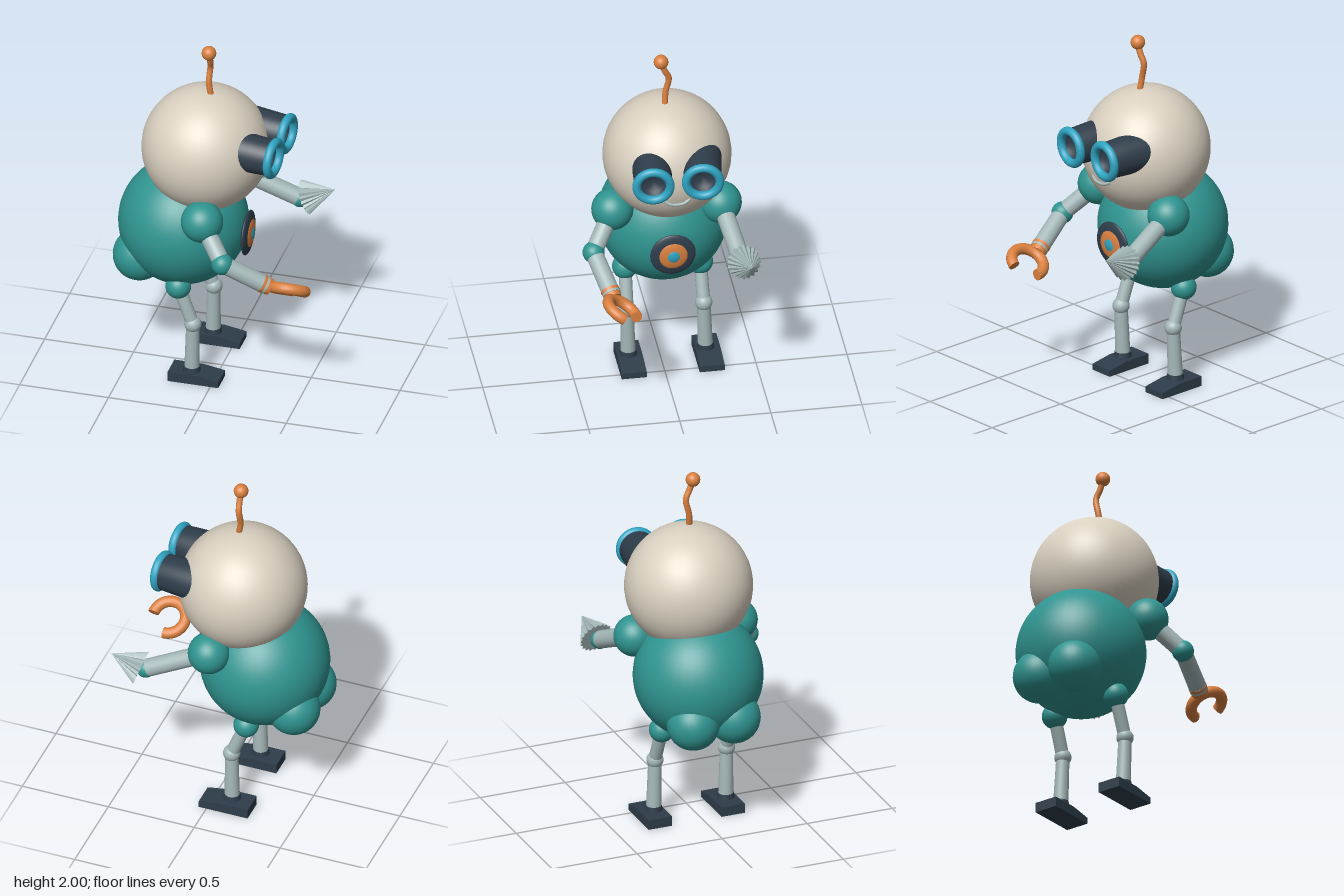
import * as THREE from 'three';

const mat = (name, color) => {
  const m = new THREE.MeshStandardMaterial({ color });
  m.name = name;
  return m;
};
const V = (x, y, z) => new THREE.Vector3(x, y, z);
const UP = V(0, 1, 0);

export function createModel() {
  const cream = mat('cream', 0xd9d0c0);
  const teal = mat('teal', 0x2f9490);
  const steel = mat('steel grey', 0xa5b8b8);
  const dark = mat('dark slate', 0x2e3d4a);
  const blue = mat('bright blue', 0x2fa4c2);
  const orange = mat('orange', 0xd9803f);

  const model = new THREE.Group();
  model.name = 'robot';

  const add = (name, geo, material, parent = model) => {
    const m = new THREE.Mesh(geo, material);
    m.name = name;
    parent.add(m);
    return m;
  };
  const ball = (name, p, r, material, seg = 32) => {
    const m = add(name, new THREE.SphereGeometry(r, seg, seg * 0.75), material);
    m.position.copy(p);
    return m;
  };
  // Rod running from point a to point b
  const rod = (name, a, b, ra, rb, material) => {
    const d = b.clone().sub(a);
    const m = add(name, new THREE.CylinderGeometry(rb, ra, d.length(), 24), material);
    m.position.copy(a).addScaledVector(d, 0.5);
    m.quaternion.setFromUnitVectors(UP, d.normalize());
    return m;
  };

  // Torso, rear lobes and head
  ball('body', V(-0.225, 0.87, -0.025), 0.355, teal, 48);
  for (const s of [-1, 1]) ball('rearLobe', V(-0.44, 0.685, -0.025 + s * 0.12), 0.145, teal);
  ball('head', V(-0.1, 1.35, -0.028), 0.35, cream, 48);

  // Antenna
  const stalk = new THREE.CatmullRomCurve3([
    V(-0.065, 1.67, -0.01), V(-0.08, 1.76, -0.017), V(-0.077, 1.85, -0.034),
    V(-0.072, 1.9, -0.012), V(-0.073, 1.95, 0.008),
  ]);
  add('antennaStalk', new THREE.TubeGeometry(stalk, 32, 0.017, 12), orange);
  ball('antennaTip', V(-0.073, 1.96, 0.009), 0.04, orange, 24);

  // Goggle eyes: recessed barrel with a bright rim, local +y looks forward
  const barrel = [[0.112, -0.24], [0.1, 0], [0.075, 0], [0.07, -0.05], [0, -0.05]]
    .map(([r, y]) => new THREE.Vector2(r, y));
  for (const z of [-0.157, 0.115]) {
    const eye = new THREE.Group();
    eye.name = 'eye';
    add('eyeBarrel', new THREE.LatheGeometry(barrel, 40), dark, eye).material = dark;
    const rim = add('eyeRim', new THREE.TorusGeometry(0.091, 0.024, 16, 48), blue, eye);
    rim.rotation.x = Math.PI / 2;
    eye.position.set(0.32, 1.42, z);
    eye.quaternion.setFromUnitVectors(UP, V(1, -0.03, 0.12).normalize());
    model.add(eye);
  }

  // Smile
  const smile = new THREE.CatmullRomCurve3([
    V(0.226, 1.254, 0.04), V(0.236, 1.237, 0.01), V(0.238, 1.231, -0.03),
    V(0.236, 1.237, -0.07), V(0.226, 1.254, -0.1),
  ]);
  add('mouth', new THREE.TubeGeometry(smile, 24, 0.009, 8), steel);

  // Chest badge of stacked shallow domes
  for (const [name, x, r, t, m] of [
    ['badgeOuter', 0.138, 0.125, 0.024, dark],
    ['badgeMiddle', 0.147, 0.087, 0.022, orange],
    ['badgeCentre', 0.156, 0.043, 0.018, blue],
  ]) {
    ball(name, V(x, 0.845, -0.022), r, m).scale.set(t / r, 1, 1);
  }

  // Claw arm
  const shoulderA = V(-0.035, 1.06, 0.282), elbowA = V(0.115, 0.89, 0.41), wristA = V(0.345, 0.758, 0.347);
  ball('shoulder', shoulderA, 0.115, teal);
  rod('upperArm', shoulderA, elbowA, 0.05, 0.048, steel);
  ball('elbow', elbowA, 0.06, teal);
  rod('forearm', elbowA, wristA, 0.048, 0.05, steel);
  const along = wristA.clone().sub(elbowA).normalize();
  rod('clawCuff', wristA.clone().addScaledVector(along, -0.03),
    wristA.clone().addScaledVector(along, 0.025), 0.052, 0.045, orange);

  // Open claw: three quarters of a ring lying in a tilted plane
  const claw = new THREE.Group();
  claw.name = 'claw';
  const side = V(0, 0.55, 0.835).normalize();
  claw.quaternion.setFromRotationMatrix(
    new THREE.Matrix4().makeBasis(V(1, 0, 0), side, V(1, 0, 0).cross(side)));
  claw.position.set(0.462, 0.727, 0.308);
  const R = 0.092, start = 0.06, arc = Math.PI * 1.49;
  const ring = add('clawRing', new THREE.TorusGeometry(R, 0.031, 16, 40, arc), orange, claw);
  ring.rotation.z = start;
  for (const [a, flip] of [[start, 1], [start + arc, -1]]) {
    const cap = add('clawTip', new THREE.CircleGeometry(0.031, 16), orange, claw);
    cap.position.set(R * Math.cos(a), R * Math.sin(a), 0);
    const out = V(Math.sin(a) * flip, -Math.cos(a) * flip, 0);
    cap.quaternion.setFromUnitVectors(V(0, 0, 1), out);
  }
  model.add(claw);

  // Spike arm
  const shoulderB = V(-0.01, 1.06, -0.308), elbowB = V(0.335, 0.9, -0.365);
  ball('shoulder', shoulderB, 0.115, teal);
  rod('upperArm', shoulderB, elbowB, 0.05, 0.05, steel);
  ball('wrist', elbowB, 0.052, teal);

  // Fluted spike: every second rib is pulled inwards
  const spike = rod('spike', V(0.36, 0.902, -0.375), V(0.525, 0.966, -0.391), 0.1, 0.001, steel);
  const ribs = 40;
  const flutes = new THREE.ConeGeometry(0.098, 0.178, ribs, 1).toNonIndexed();
  const p = flutes.attributes.position;
  for (let i = 0; i < p.count; i++) {
    const a = Math.atan2(p.getX(i), p.getZ(i));
    const odd = Math.abs(Math.round(a / (Math.PI * 2) * ribs)) % 2;
    const k = odd ? 0.87 : 1;
    p.setX(i, p.getX(i) * k);
    p.setZ(i, p.getZ(i) * k);
  }
  flutes.computeVertexNormals();
  spike.geometry = flutes;

  // Legs with wedge feet
  const wedge = new THREE.Shape([[-0.24, 0], [0.045, 0], [0.045, 0.035], [-0.08, 0.056], [-0.24, 0.056]]
    .map(([x, y]) => new THREE.Vector2(x, y)));
  const footGeo = new THREE.ExtrudeGeometry(wedge, { depth: 0.137, bevelEnabled: false });
  footGeo.translate(0, 0, -0.0685);
  for (const [hipZ, hipY, kneeZ, footZ] of [[0.187, 0.575, 0.189, 0.175], [-0.226, 0.563, -0.232, -0.253]]) {
    const hip = V(-0.195, hipY, hipZ), knee = V(-0.113, 0.35, kneeZ), ankle = V(-0.12, 0.05, (kneeZ + footZ) / 2);
    ball('hip', hip, 0.07, teal);
    rod('thigh', hip, knee, 0.036, 0.036, steel);
    ball('knee', knee, 0.047, steel, 24);
    rod('shin', knee, ankle, 0.036, 0.042, steel);
    rod('ankle', V(ankle.x, 0.03, ankle.z), V(ankle.x, 0.084, ankle.z), 0.052, 0.044, dark);
    add('foot', footGeo, dark).position.z = footZ;
  }

  return model;
}
